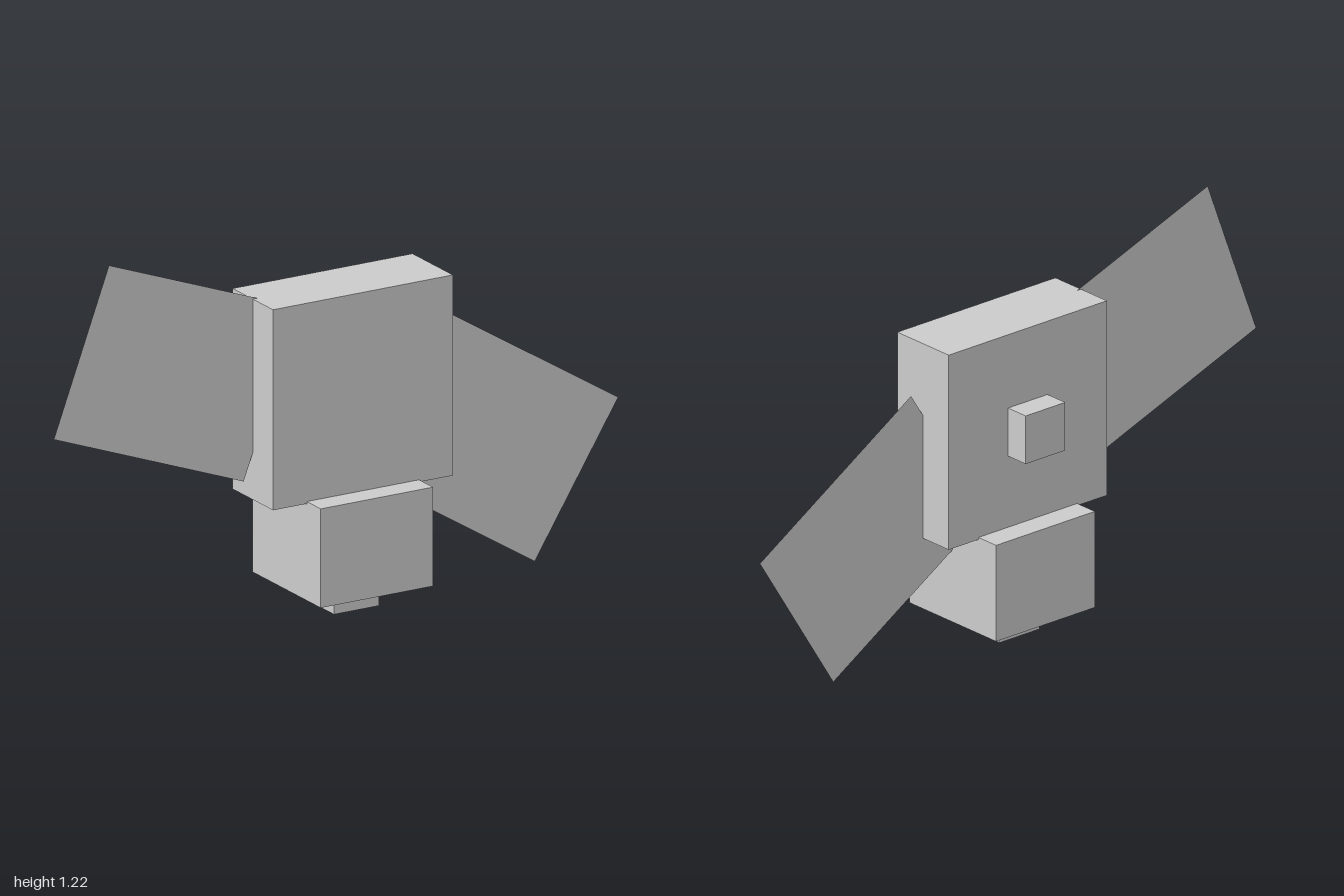
import * as THREE from 'three';

export function createModel() {
  const group = new THREE.Group();
  const solid = new THREE.MeshStandardMaterial({ color: 0xcccccc, flatShading: true });
  const sheet = new THREE.MeshStandardMaterial({ color: 0xcccccc, flatShading: true, side: THREE.DoubleSide });
  const axisX = 0.0225; // centre line of the blocks

  function add(name, geometry, material, x, y, z) {
    const mesh = new THREE.Mesh(geometry, material);
    mesh.name = name;
    mesh.position.set(x, y, z);
    group.add(mesh);
    return mesh;
  }

  // Stacked blocks: [name, width, bottom, top, back, front]
  const blocks = [
    ['upperBody', 0.636, 0.385, 1.025, -0.118, 0.118],
    ['lowerBody', 0.397, 0.076, 0.392, -0.199, 0.199],
    ['foot', 0.159, 0, 0.076, -0.08, 0.08],
    ['backPeg', 0.159, 0.626, 0.784, -0.199, -0.118],
  ];
  for (const [name, width, bottom, top, back, front] of blocks) {
    add(name, new THREE.BoxGeometry(width, top - bottom, front - back), solid,
      axisX, (bottom + top) / 2, (back + front) / 2);
  }

  // Paper-thin wings, tilted in the frontal plane: [name, x, y, tilt in degrees]
  const wings = [
    ['rightWing', -0.566, 0.835, -20.5],
    ['leftWing', 0.545, 0.44, -32],
  ];
  for (const [name, x, y, tilt] of wings) {
    const wing = add(name, new THREE.PlaneGeometry(0.717, 0.557), sheet, x, y, 0);
    wing.rotation.z = THREE.MathUtils.degToRad(tilt);
  }

  return group;
}
